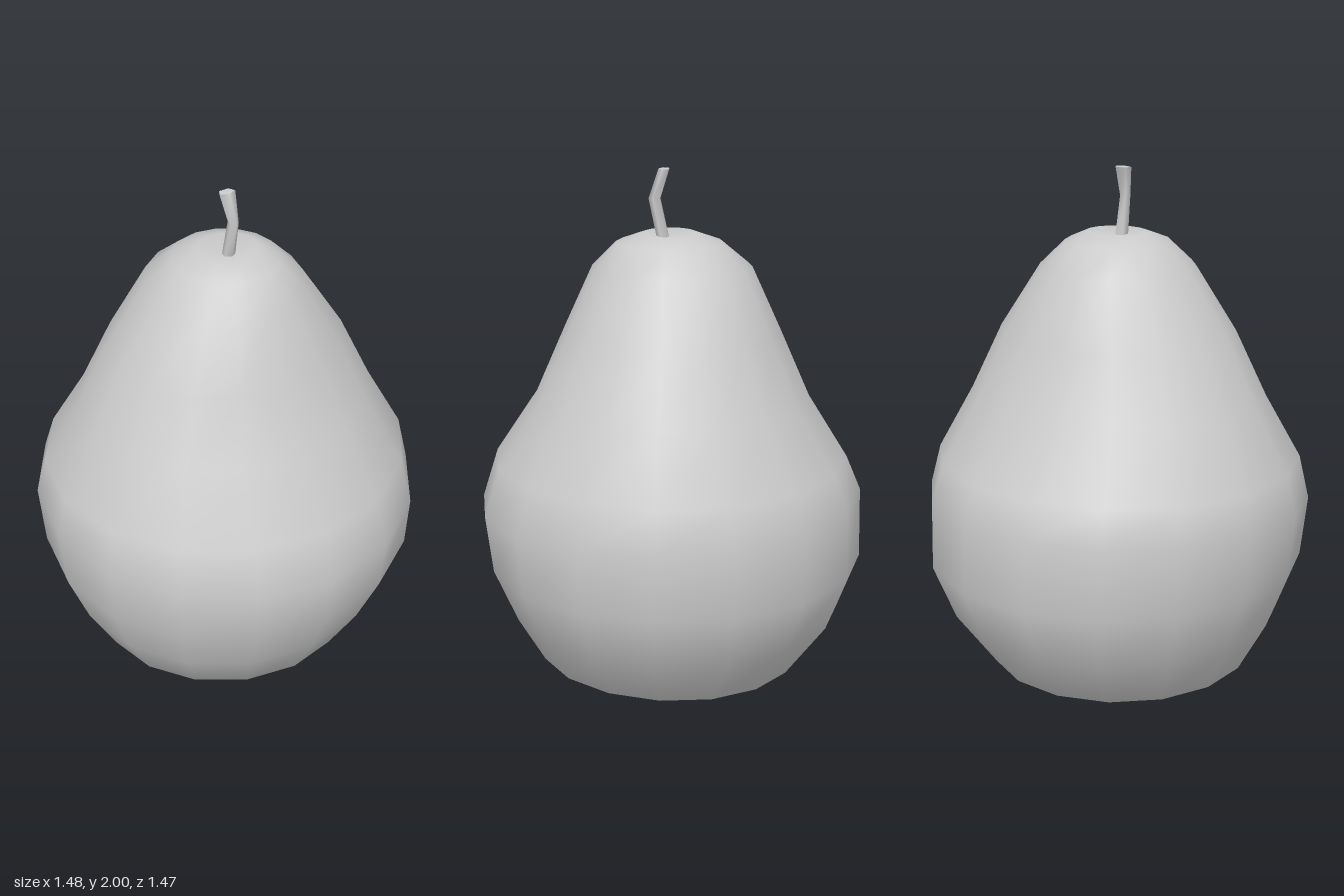
import * as THREE from 'three';
import { mergeVertices } from 'three/addons/utils/BufferGeometryUtils.js';

// Skin a stack of rings, each [y, left, right, back, front, tilt, cx, cz]
function loft(rings, sides, turn = 0) {
  const pos = [], index = [];
  for (const [y, left, right, back, front, tilt = 0, cx = 0, cz = 0] of rings) {
    for (let j = 0; j < sides; j++) {
      const a = (j / sides) * Math.PI * 2 + turn;
      const c = Math.cos(a), s = Math.sin(a);
      const x = c * (c < 0 ? left : right);
      const z = s * (s < 0 ? back : front);
      pos.push(cx + x, y + tilt * z, cz + z);
    }
  }
  for (let i = 0; i < rings.length - 1; i++) {
    for (let j = 0; j < sides; j++) {
      const a = i * sides + j, b = i * sides + ((j + 1) % sides);
      index.push(a, a + sides, b, b, a + sides, b + sides);
    }
  }
  let geo = new THREE.BufferGeometry();
  geo.setAttribute('position', new THREE.Float32BufferAttribute(pos, 3));
  geo.setIndex(index);
  geo = mergeVertices(geo, 1e-5); // weld the poles
  geo.computeVertexNormals();
  return geo;
}

export function createModel() {
  const group = new THREE.Group();
  group.name = 'pear';
  const material = new THREE.MeshStandardMaterial({ color: 0xcccccc });

  const add = (name, geo) => {
    const mesh = new THREE.Mesh(geo, material);
    mesh.name = name;
    group.add(mesh);
  };

  // Fruit: broad belly, tapering neck, dimple at the top
  add('fruit', loft([
    [0.03, 0, 0, 0, 0],
    [0.02, 0.34, 0.28, 0.22, 0.27, -0.07],
    [0.10, 0.52, 0.50, 0.50, 0.51, 0.03],
    [0.30, 0.63, 0.65, 0.66, 0.61],
    [0.51, 0.71, 0.74, 0.74, 0.70],
    [0.75, 0.735, 0.735, 0.735, 0.73, -0.04],
    [0.91, 0.70, 0.70, 0.68, 0.67],
    [1.15, 0.57, 0.57, 0.53, 0.51],
    [1.40, 0.45, 0.45, 0.42, 0.40],
    [1.64, 0.29, 0.29, 0.31, 0.29],
    [1.73, 0.19, 0.20, 0.20, 0.20],
    [1.765, 0.11, 0.12, 0.10, 0.10],
    [1.745, 0, 0, 0, 0, 0, 0, 0.02],
  ], 16));

  // Stem: five-sided, bent forward, flaring at the cut end
  add('stem', loft([
    [1.73, 0.026, 0.026, 0.025, 0.025, 0, 0, 0.02],
    [1.89, 0.019, 0.019, 0.024, 0.024, 0, 0, 0.054],
    [1.998, 0.034, 0.034, 0.022, 0.022, 0, -0.007, 0.02],
    [2.0, 0.03, 0.03, 0.019, 0.019, 0, -0.007, 0.02],
    [2.0, 0, 0, 0, 0, 0, -0.007, 0.02],
  ], 5, Math.PI / 2));

  return group;
}
